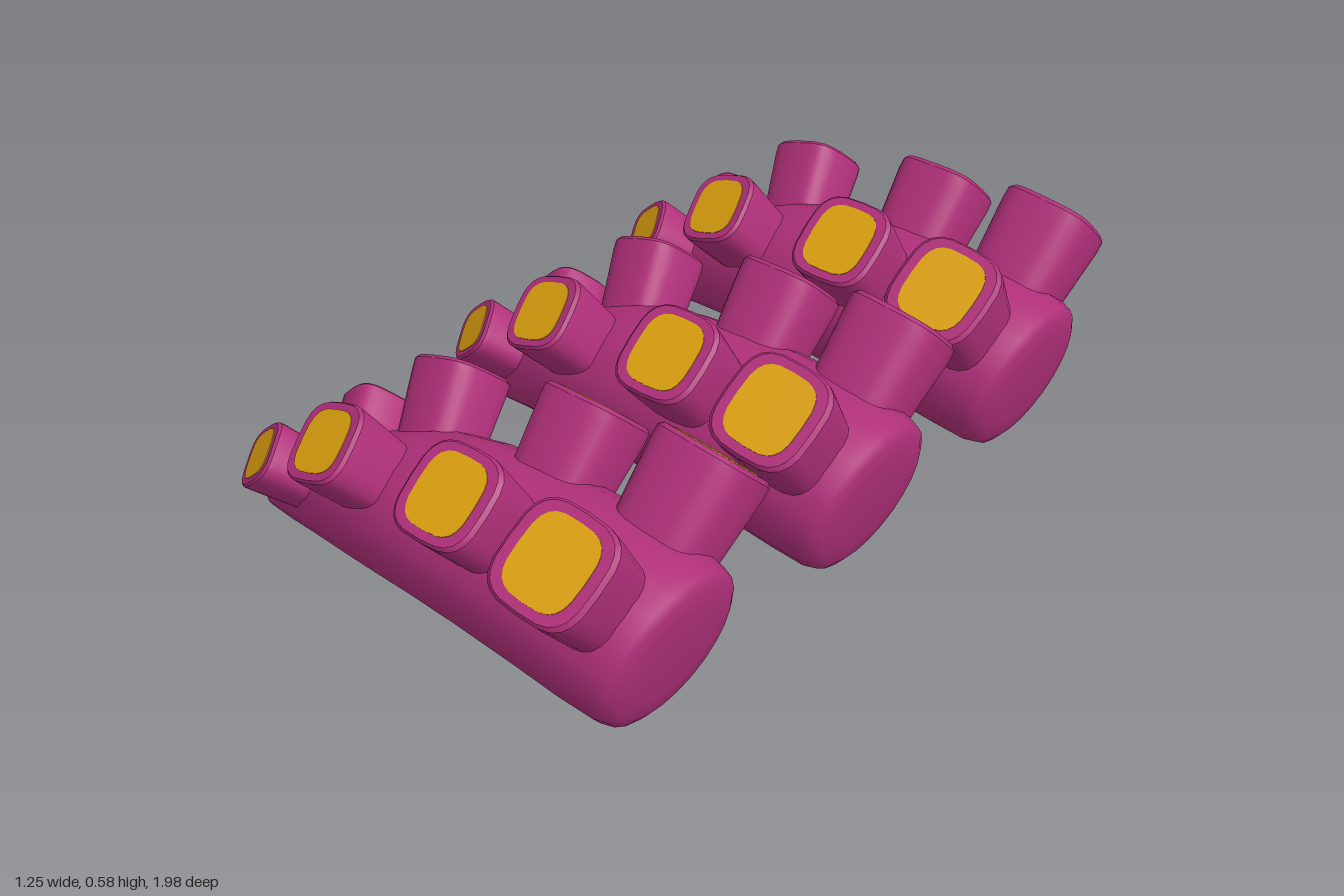
import * as THREE from 'three';
import { toCreasedNormals } from 'three/addons/utils/BufferGeometryUtils.js';

const purple = new THREE.MeshStandardMaterial({ color: 0xb0307a });
purple.name = 'tentacle magenta';
const amber = new THREE.MeshStandardMaterial({ color: 0xdca010 });
amber.name = 'sucker amber';

// Skin a list of equal-length rings and close both ends with fans.
function loft(rings, crease) {
  const n = rings[0].length, pos = [], idx = [];
  rings.forEach(r => r.forEach(p => pos.push(p.x, p.y, p.z)));
  for (let i = 0; i < rings.length - 1; i++) {
    for (let j = 0; j < n; j++) {
      const a = i * n + j, b = i * n + (j + 1) % n;
      idx.push(a, b, a + n, b, b + n, a + n);
    }
  }
  [0, rings.length - 1].forEach(i => {
    const c = new THREE.Vector3();
    rings[i].forEach(p => c.addScaledVector(p, 1 / n));
    const k = pos.length / 3;
    pos.push(c.x, c.y, c.z);
    for (let j = 0; j < n; j++) {
      const a = i * n + j, b = i * n + (j + 1) % n;
      if (i) idx.push(k, a, b); else idx.push(k, b, a);
    }
  });
  const g = new THREE.BufferGeometry();
  g.setAttribute('position', new THREE.Float32BufferAttribute(pos, 3));
  g.setIndex(idx);
  g.computeVertexNormals();
  return toCreasedNormals(g, crease);
}

// Ring about a centre with two half axes; power below 1 squares it off.
function ring(c, e1, e2, power = 1, sides = 24) {
  const sp = v => Math.sign(v) * Math.pow(Math.abs(v), power);
  return Array.from({ length: sides }, (_, j) => {
    const t = j / sides * Math.PI * 2;
    return c.clone().addScaledVector(e1, sp(Math.cos(t))).addScaledVector(e2, sp(Math.sin(t)));
  });
}

// Body sections: top x, top y, bottom x, bottom y, half width
const sections = [
  [-0.630, 0.024, -0.618, 0.004, 0.012],
  [-0.622, 0.050, -0.590, 0.004, 0.030],
  [-0.585, 0.100, -0.545, 0.014, 0.052],
  [-0.510, 0.170, -0.460, 0.030, 0.087],
  [-0.400, 0.255, -0.340, 0.050, 0.127],
  [-0.270, 0.335, -0.220, 0.061, 0.162],
  [-0.130, 0.395, -0.100, 0.067, 0.188],
  [0.020, 0.425, 0.010, 0.067, 0.201],
  [0.180, 0.434, 0.140, 0.060, 0.209],
  [0.360, 0.429, 0.300, 0.045, 0.215],
  [0.500, 0.412, 0.420, 0.028, 0.215],
  [0.592, 0.393, 0.505, 0.015, 0.207],
  [0.618, 0.381, 0.538, 0.020, 0.197],
  [0.625, 0.358, 0.558, 0.043, 0.174],
  [0.622, 0.310, 0.574, 0.090, 0.125],
];

function bodyGeometry() {
  return loft(sections.map(([tx, ty, bx, by, w]) => ring(
    new THREE.Vector3((tx + bx) / 2, (ty + by) / 2, 0),
    new THREE.Vector3((tx - bx) / 2, (ty - by) / 2, 0),
    new THREE.Vector3(0, 0, w))), 1.2);
}

// Suckers: mouth centre x, y, z, radius, lean along the body, sideways tilt (degrees)
const suckers = [
  [0.478, 0.508, 0.230, 0.120, -8, 37],
  [0.175, 0.512, 0.205, 0.109, 0, 37],
  [-0.212, 0.450, 0.180, 0.095, 18, 37],
  [-0.470, 0.282, 0.145, 0.073, 42, 37],
  [0.470, 0.487, -0.275, 0.120, -6, 44],
  [0.175, 0.487, -0.250, 0.109, 0, 44],
  [-0.203, 0.430, -0.228, 0.095, 18, 44],
  [-0.455, 0.250, -0.198, 0.073, 42, 54],
];

function sucker([x, y, z, r, lean, tilt]) {
  const a = THREE.MathUtils.degToRad(lean), t = THREE.MathUtils.degToRad(tilt);
  const n = new THREE.Vector3(-Math.sin(a) * Math.cos(t), Math.cos(a) * Math.cos(t),
    Math.sign(z) * Math.sin(t));
  const u = new THREE.Vector3(Math.cos(a), Math.sin(a), 0);
  const v = new THREE.Vector3().crossVectors(n, u);
  const at = (d, su, sv) => ring(new THREE.Vector3(x, y, z).addScaledVector(n, d),
    u.clone().multiplyScalar(r * su), v.clone().multiplyScalar(r * sv), 0.6);
  const group = new THREE.Group();
  group.name = 'sucker';
  // Stalk with a softly bevelled rim
  const stalk = new THREE.Mesh(loft([
    at(-2.2 * r, 0.86, 0.86), at(-0.3 * r, 0.99, 0.99),
    at(-0.08 * r, 0.98, 1), at(0, 0.9, 0.95)], 0.6), purple);
  stalk.name = 'suckerStalk';
  // Thin coloured disc in the mouth
  const pad = new THREE.Mesh(loft([at(-0.002, 0.7, 0.78), at(0.002, 0.7, 0.78)], 0.6), amber);
  pad.name = 'suckerPad';
  group.add(stalk, pad);
  return group;
}

export function createModel() {
  const model = new THREE.Group();
  model.name = 'tentacles';
  const body = bodyGeometry();
  // Three tentacles side by side
  [0.67, 0, -0.63].forEach(z => {
    const tentacle = new THREE.Group();
    tentacle.name = 'tentacle';
    const mesh = new THREE.Mesh(body, purple);
    mesh.name = 'tentacleBody';
    tentacle.add(mesh, ...suckers.map(sucker));
    tentacle.position.z = z;
    model.add(tentacle);
  });
  return model;
}
